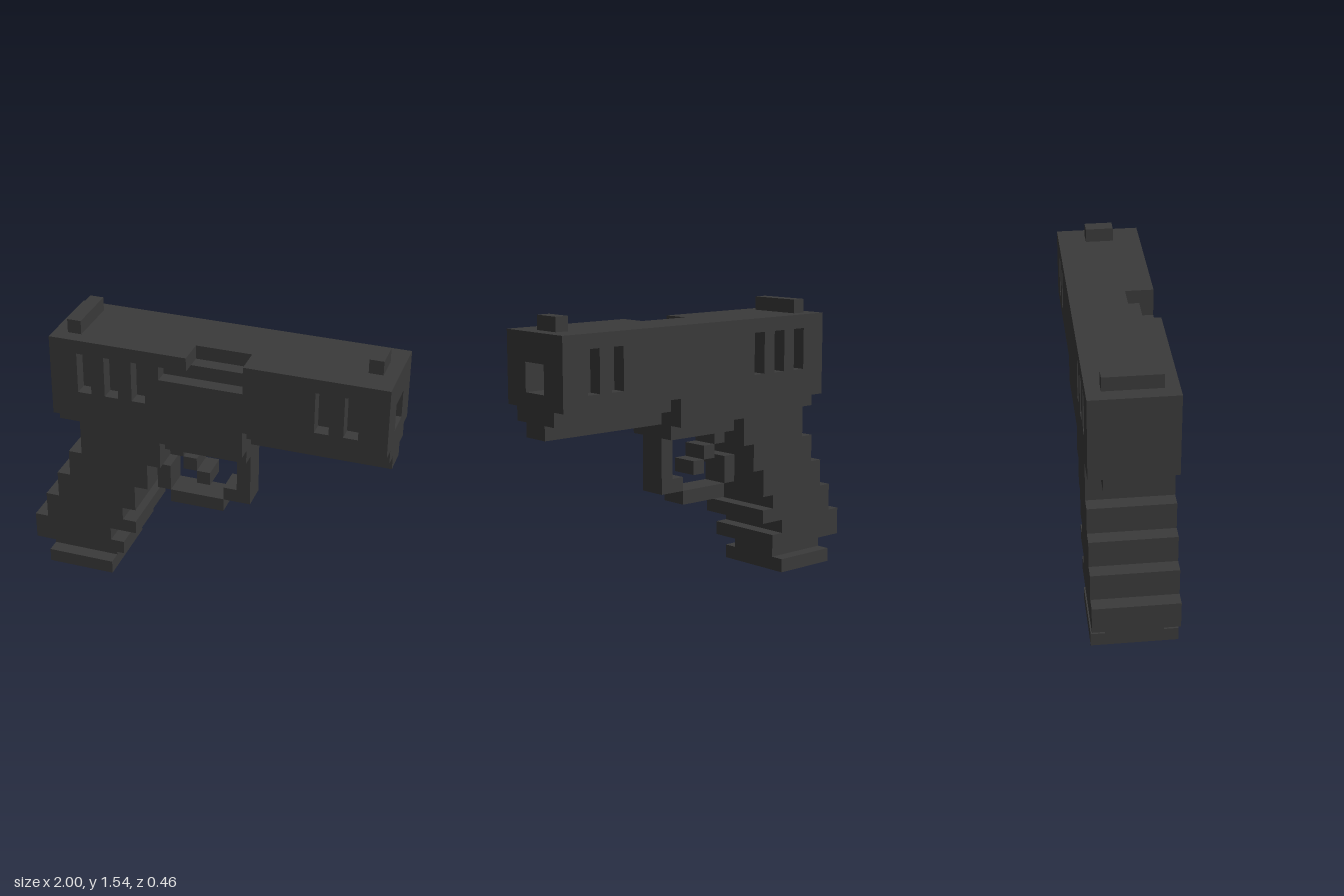
import * as THREE from 'three';

const U = 1 / 13; // one block; all sizes below are counted in blocks

export function createModel() {
  const model = new THREE.Group();
  model.name = 'blockPistol';
  const charcoal = new THREE.MeshStandardMaterial({ color: 0x3a3a3a });
  charcoal.name = 'charcoal';

  const add = (name, geometry, parent = model) => {
    const mesh = new THREE.Mesh(geometry, charcoal);
    mesh.name = name;
    parent.add(mesh);
  };

  // Block spanning x0..x1 and y0..y1, centred on z = 0
  const block = (name, x0, x1, y0, y1, halfDepth, parent) => {
    const g = new THREE.BoxGeometry(x1 - x0, y1 - y0, halfDepth * 2);
    g.translate((x0 + x1) / 2, (y0 + y1) / 2, 0).scale(U, U, U);
    add(name, g, parent);
  };

  // Side profile extruded from z0 to z1, with optional holes
  const toPoints = (list) => list.map(([x, y]) => new THREE.Vector2(x, y));
  const slab = (name, outline, z0, z1, parent, holes = []) => {
    const shape = new THREE.Shape(toPoints(outline));
    holes.forEach((h) => shape.holes.push(new THREE.Path(toPoints(h))));
    const g = new THREE.ExtrudeGeometry(shape, { depth: z1 - z0, bevelEnabled: false });
    g.translate(0, 0, z0).scale(U, U, U);
    add(name, g, parent);
  };

  // Slide, in layers so that slots, port and muzzle are real recesses
  const slide = new THREE.Group();
  slide.name = 'slide';
  model.add(slide);
  const slideOutline = (front = [], top = []) => [
    [-11, 13], [-9, 13], [-9, 12], [3, 12], [3, 14], [13, 14],
    ...front, [13, 19], ...top, [-11, 19],
  ];
  const slots = [-9, -7, -5, 8, 10].map((x) => [[x, 15], [x, 18], [x + 1, 18], [x + 1, 15]]);
  const muzzle = [[13, 15], [11, 15], [11, 17], [13, 17]];
  const portStep = [[3, 19], [3, 18], [-1, 18], [-1, 19]];
  const portGroove = [[3, 19], [3, 17], [-3, 17], [-3, 18], [-1, 18], [-1, 19]];
  slab('rightSlottedSide', slideOutline(), -3, -2, slide, slots);
  slab('rightCore', slideOutline(), -2, -1, slide);
  slab('muzzleCore', slideOutline(muzzle), -1, 1, slide);
  slab('portCore', slideOutline([], portStep), 1, 2, slide);
  slab('leftSlottedSide', slideOutline([], portGroove), 2, 3, slide, slots);

  // Sights and the stepped underside of the slide
  block('rearSight', -10, -9, 19, 20, 2);
  block('frontSight', 11, 12, 19, 20, 1);
  block('upperRail', 3, 13, 13, 14, 2);
  block('lowerRail', 3, 13, 12, 13, 1);
  block('rearTang', -11, -9, 12, 13, 2);

  // Grip with stepped back and finger ridges
  slab('grip', [
    [-13, 2], [-6, 2], [-6, 3], [-7, 3], [-7, 4], [-5, 4], [-5, 5], [-6, 5], [-6, 6],
    [-5, 6], [-5, 8], [-4, 8], [-4, 10], [-3, 10], [-3, 12], [-9, 12], [-9, 10],
    [-10, 10], [-10, 8], [-11, 8], [-11, 6], [-12, 6], [-12, 4], [-13, 4],
  ], -3, 3);
  block('magazineNeck', -12, -7, 1, 2, 2);
  block('magazineBase', -12, -7, 0, 1, 3);

  // Trigger guard and trigger
  block('guardMount', -3, 3, 11, 12, 2);
  slab('guardFront', [[1, 7], [3, 7], [3, 11], [2, 11], [2, 8], [1, 8]], -1, 1);
  block('guardBottom', -3, 1, 6, 7, 1);
  block('guardRear', -4, -3, 7, 9, 1);
  for (let i = 0; i < 3; i++) block('triggerStep', -3 + i, -2 + i, 10 - i, 11 - i, 1);

  return model;
}
